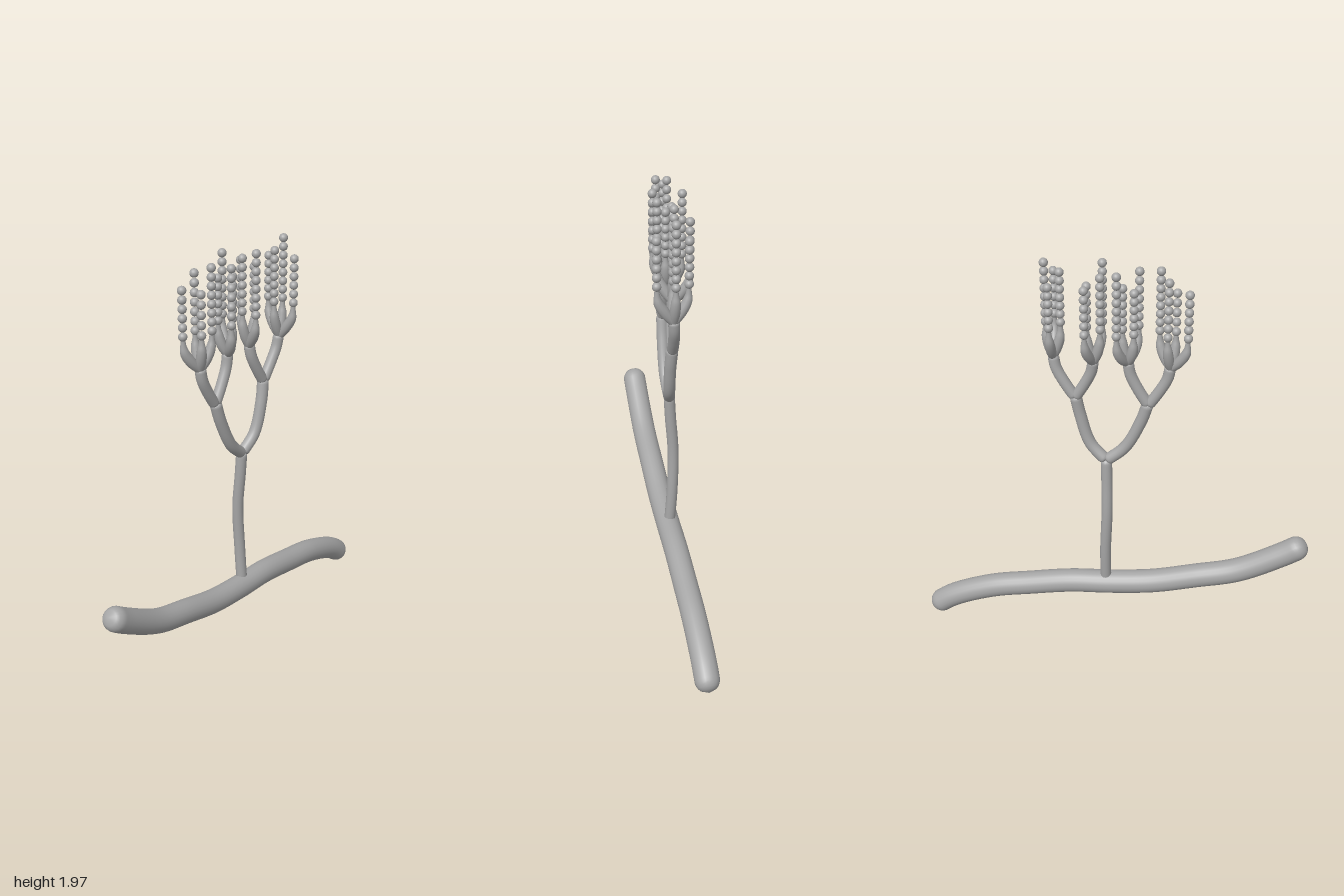
import * as THREE from 'three';
import { mergeVertices } from 'three/addons/utils/BufferGeometryUtils.js';

const V = (p) => new THREE.Vector3(...p);

// Smooth tube through the points; radius(t) gives the thickness along it.
function taperedTube(points, radius, segments, sides = 16) {
  const curve = new THREE.CatmullRomCurve3(points.map(V));
  const geo = new THREE.TubeGeometry(curve, segments, 1, sides);
  const pos = geo.attributes.position;
  const v = new THREE.Vector3();
  for (let i = 0; i <= segments; i++) {
    const c = curve.getPointAt(i / segments);
    const r = radius(i / segments);
    for (let j = 0; j <= sides; j++) {
      const k = i * (sides + 1) + j;
      v.fromBufferAttribute(pos, k).sub(c).multiplyScalar(r).add(c);
      pos.setXYZ(k, v.x, v.y, v.z);
    }
  }
  geo.deleteAttribute('uv');
  geo.deleteAttribute('normal');
  const merged = mergeVertices(geo, 1e-5);
  merged.computeVertexNormals();
  return merged;
}

// Constant radius with rounded ends; cap is the share of the length they take.
const rounded = (r, cap) => (t) => {
  const d = Math.min(1, Math.min(t, 1 - t) / cap);
  return r * Math.sqrt(Math.max(0, 1 - (1 - d) ** 2));
};

export function createModel() {
  const group = new THREE.Group();
  const grey = new THREE.MeshStandardMaterial({ color: 0xa6a6a6 });
  const add = (name, geo, parent = group) => {
    const mesh = new THREE.Mesh(geo, grey);
    mesh.name = name;
    parent.add(mesh);
    return mesh;
  };

  // Thick creeping filament at the base
  const X = -0.013;
  add('baseFilament', taperedTube([
    [X, 0.628, 0.91], [X, 0.55, 0.8], [X, 0.435, 0.6], [X, 0.375, 0.4], [X, 0.32, 0.2],
    [X, 0.292, 0], [X, 0.275, -0.2], [X, 0.237, -0.4], [X, 0.193, -0.6], [X, 0.11, -0.8],
    [X, 0.032, -0.907],
  ], rounded(0.057, 0.03), 160, 20));

  // Upright stalk
  add('stalk', taperedTube([
    [-0.015, 0.28, -0.028], [-0.03, 0.5, -0.028], [-0.035, 0.72, -0.02],
    [-0.022, 0.9, -0.022], [-0.015, 1.025, -0.025],
  ], rounded(0.026, 0.03), 60));

  // Two forks, each splitting again
  const fork = [-0.015, 1.01, -0.025];
  const forks = [
    { path: [[-0.012, 1.09, 0.06], [-0.016, 1.235, 0.13], [-0.02, 1.34, 0.162]] },
    { path: [[0, 1.09, -0.1], [0.005, 1.235, -0.145], [0, 1.34, -0.165]] },
  ];
  for (const { path } of forks) {
    add('mainBranch', taperedTube([fork, ...path], rounded(0.027, 0.05), 48));
  }

  // Each cluster: fork index, base point, and chains as [x, z, top]
  const clusters = [
    { from: 0, base: [-0.025, 1.535, 0.255], chains: [
      [-0.055, 0.328, 1.912], [0, 0.272, 1.89], [-0.058, 0.243, 1.962], [0, 0.203, 1.985]] },
    { from: 0, base: [-0.02, 1.545, 0.07], chains: [
      [-0.05, 0.098, 1.9], [0.032, 0.11, 1.962], [-0.08, 0.028, 1.985], [-0.012, 0.045, 1.9]] },
    { from: 1, base: [-0.018, 1.535, -0.08], chains: [
      [-0.085, -0.108, 1.915], [0.043, -0.048, 1.985], [-0.03, -0.048, 1.95], [-0.012, -0.108, 1.9]] },
    { from: 1, base: [0.015, 1.53, -0.262], chains: [
      [-0.048, -0.265, 1.9], [0.088, -0.265, 1.912], [0.012, -0.225, 1.945], [0.012, -0.29, 1.985]] },
  ];

  const R = 0.0195;
  const bottom = 1.69;
  const ball = new THREE.SphereGeometry(R, 16, 12);
  // Flask shape: swollen in the middle, narrow neck
  const flask = (t) => 0.017 + 0.006 * Math.sin(Math.PI * Math.min(1, t * 1.25))
    - 0.007 * THREE.MathUtils.smoothstep(t, 0.65, 1);

  for (const { from, base, chains } of clusters) {
    const [x0, y0, z0] = forks[from].path[2];
    const [bx, by, bz] = base;
    const mix = (a, b, t) => a + (b - a) * t;
    const at = (s, h) => [mix(x0, bx, h), mix(y0, by, h), mix(z0, bz, s)];
    add('sideBranch', taperedTube(
      [[x0, y0 - 0.015, z0], at(0.55, 0.35), at(0.88, 0.68), at(1, 1)],
      rounded(0.025, 0.08), 40));

    for (const [x, z, top] of chains) {
      // Flask-shaped cell carrying the chain
      const step = (s, y) => [mix(bx, x, s), y, mix(bz, z, s)];
      add('flaskCell', taperedTube(
        [step(0, by - 0.015), step(0.55, 1.57), step(0.92, 1.62), step(1, 1.68)],
        flask, 24, 12));

      // Chain of round spores
      const chain = new THREE.Group();
      chain.name = 'sporeChain';
      const last = top - R;
      const gaps = Math.round((last - bottom) / 0.041);
      for (let i = 0; i <= gaps; i++) {
        add('spore', ball, chain).position.set(x, mix(bottom, last, i / gaps), z);
      }
      group.add(chain);
    }
  }
  return group;
}
